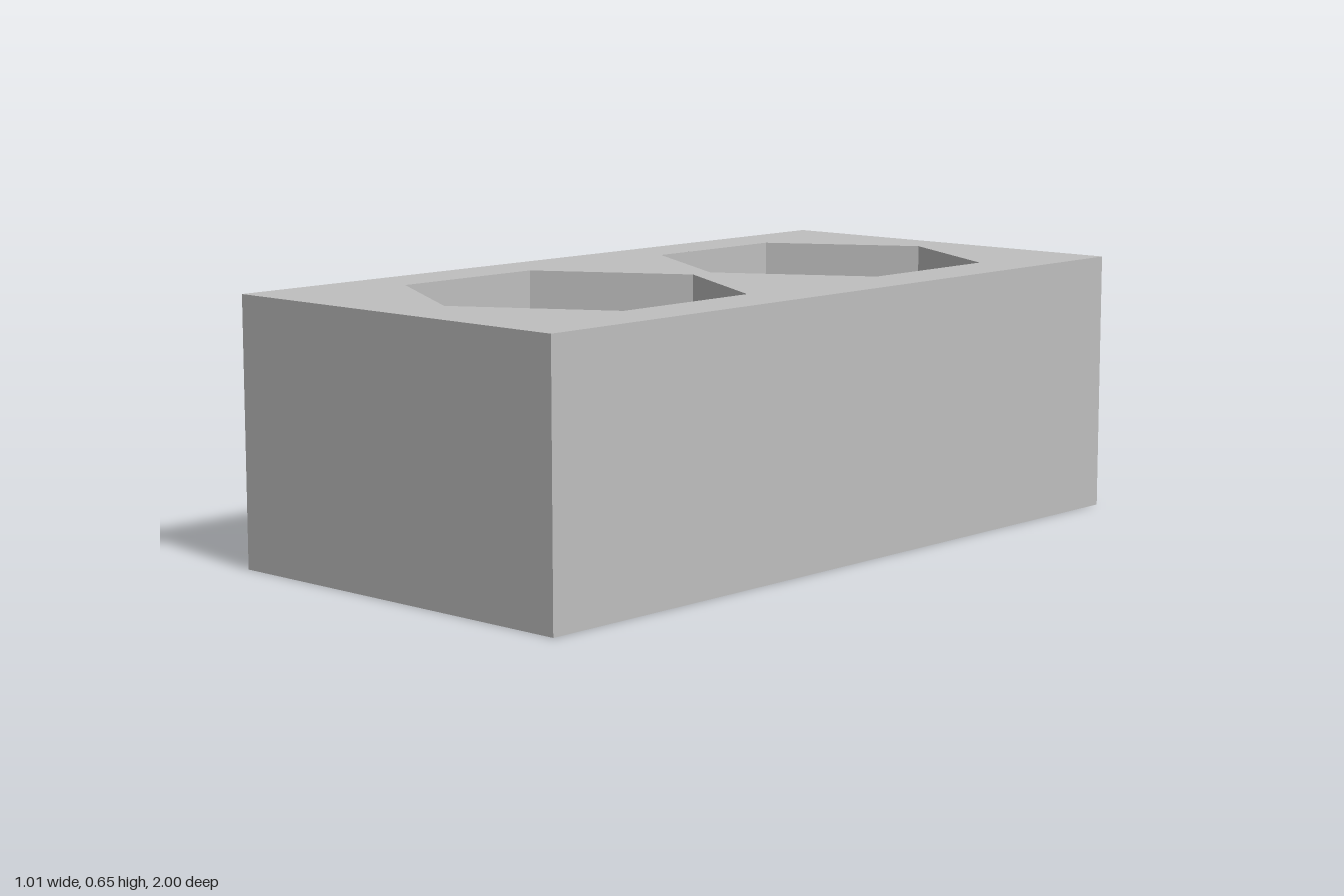
import * as THREE from 'three';

const WIDTH = 1.01, HEIGHT = 0.65, LENGTH = 2;
const HOLE_RADIUS = 0.413;
const HOLE_CENTRES_Z = [-0.467, 0.421];

// Hexagonal opening with its points along the block's length
function hexagonHole(z) {
  const points = [];
  for (let i = 0; i < 6; i++) {
    const a = Math.PI / 2 - (i * Math.PI) / 3;
    points.push(new THREE.Vector2(HOLE_RADIUS * Math.cos(a), -z + HOLE_RADIUS * Math.sin(a)));
  }
  return new THREE.Path(points);
}

export function createModel() {
  const model = new THREE.Group();
  model.name = 'hollowBlock';

  const concreteGrey = new THREE.MeshStandardMaterial({ color: 0xbfbfbf });
  concreteGrey.name = 'concrete grey';

  // Rectangular outline pierced by two through holes
  const outline = new THREE.Shape([
    new THREE.Vector2(-WIDTH / 2, -LENGTH / 2),
    new THREE.Vector2(WIDTH / 2, -LENGTH / 2),
    new THREE.Vector2(WIDTH / 2, LENGTH / 2),
    new THREE.Vector2(-WIDTH / 2, LENGTH / 2),
  ]);
  outline.holes = HOLE_CENTRES_Z.map(hexagonHole);

  // Extruded upwards from the ground
  const geometry = new THREE.ExtrudeGeometry(outline, { depth: HEIGHT, bevelEnabled: false });
  geometry.rotateX(-Math.PI / 2);

  const block = new THREE.Mesh(geometry, concreteGrey);
  block.name = 'block';
  model.add(block);
  return model;
}
